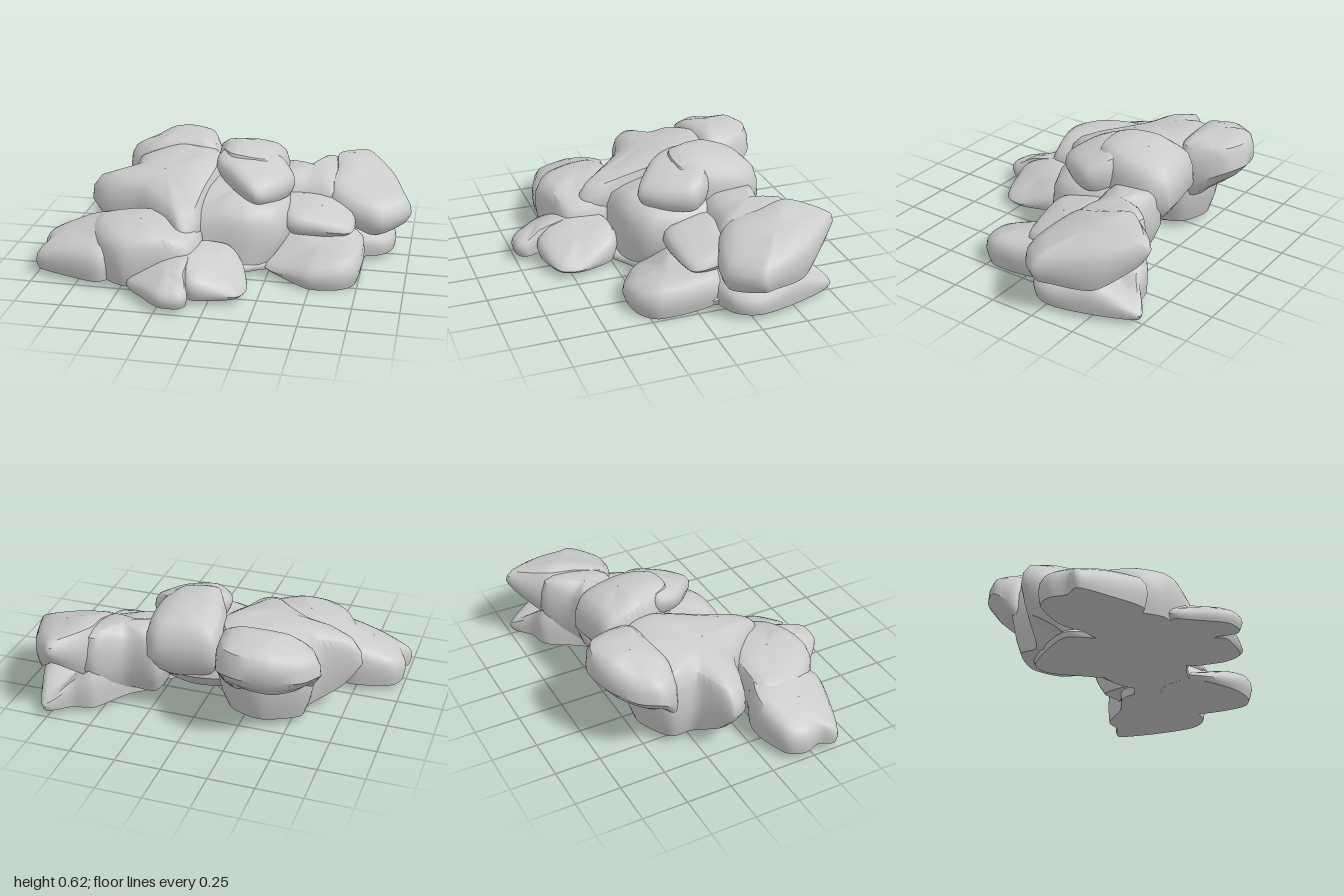
import * as THREE from 'three';
import { toCreasedNormals } from 'three/addons/utils/BufferGeometryUtils.js';

// Side and top of every boulder, from the foot to the crown: [outward reach, share of the height]
const SECTION = [[0.55, 0.19], [1, 0.44], [0.975, 0.7], [0.88, 0.89], [0.68, 0.97], [0.35, 1], [0.005, 1]];

// Boulder lofted from a plan outline of [x, z, top height, optional bottom height].
// foot = [scale, x shift, z shift] of the flat underside
function boulder(name, bottom, [scale, dx = 0, dz = 0], outline) {
  const area = outline.reduce((sum, p, i) => {
    const q = outline[(i + 1) % outline.length];
    return sum + p[0] * q[1] - q[0] * p[1];
  }, 0);
  const pts = area > 0 ? [...outline].reverse() : outline;
  const loop = (f) => new THREE.CatmullRomCurve3(pts.map(f), true, 'catmullrom', 0.4);
  const plan = loop((p) => new THREE.Vector3(p[0], p[2], p[1]));
  const base = loop((p) => new THREE.Vector3(p[0], p[3] ?? bottom, p[1]));
  const n = pts.length * 6;
  const rim = [], floor = [], mid = new THREE.Vector3();
  let floorMid = 0;
  for (let i = 0; i < n; i++) {
    rim.push(plan.getPoint(i / n));
    floor.push(base.getPoint(i / n).y);
    mid.addScaledVector(rim[i], 1 / n);
    floorMid += floor[i] / n;
  }
  mid.y += 0.015;

  // Rings of [plan scale, share of the height, share of the foot shift]
  const rings = [[0.005, 0, 1], [scale, 0, 1]];
  SECTION.forEach(([reach, h], i) => {
    rings.push(i === 0 ? [scale + (1 - scale) * reach, h, 1 - reach] : [reach, h, 0]);
  });
  const pos = [], index = [];
  rings.forEach(([s, h, shift], r) => {
    for (let i = 0; i < n; i++) {
      const p = rim[i];
      const top = mid.y + (p.y - mid.y) * s;
      const low = floorMid + (floor[i] - floorMid) * s;
      pos.push(mid.x + (p.x - mid.x) * s + dx * shift, low + (top - low) * h, mid.z + (p.z - mid.z) * s + dz * shift);
      if (r === 0) continue;
      const j = (i + 1) % n, a = (r - 1) * n, b = r * n;
      index.push(a + i, a + j, b + i, a + j, b + j, b + i);
    }
  });
  const geo = new THREE.BufferGeometry();
  geo.setAttribute('position', new THREE.Float32BufferAttribute(pos, 3));
  geo.setIndex(index);
  const mesh = new THREE.Mesh(toCreasedNormals(geo, 0.75), new THREE.MeshStandardMaterial({ color: 0xcccccc }));
  mesh.name = name;
  return mesh;
}

export function createModel() {
  const group = new THREE.Group();
  group.name = 'rockPile';
  const add = (...args) => group.add(boulder(...args));

  // Flat sheet joining the feet of the ground rocks
  add('groundSlab', 0.03, [0.98], [
    [-0.6, -0.04, 0.09], [-0.44, -0.38, 0.09], [-0.29, -0.42, 0.09], [-0.08, -0.25, 0.09], [0.1, -0.13, 0.09],
    [0.4, -0.32, 0.1], [0.75, -0.3, 0.1], [0.7, 0.02, 0.1], [0.3, 0.14, 0.08], [0.08, 0.27, 0.08],
    [-0.1, 0.45, 0.08], [-0.5, 0.42, 0.09], [-0.45, 0.15, 0.09]]);

  // Ground layer
  add('rightEndRock', 0.03, [0.95], [
    [-1, 0.2, 0.18], [-0.95, 0.1, 0.2], [-0.74, 0.04, 0.28], [-0.58, 0.09, 0.33], [-0.52, 0.3, 0.33],
    [-0.6, 0.51, 0.22], [-0.83, 0.46, 0.18], [-1, 0.39, 0.14], [-0.97, 0.3, 0.18]]);
  add('rightFrontRock', 0.03, [0.92], [
    [-0.74, 0.09, 0.3], [-0.5, 0.07, 0.34], [-0.25, 0.08, 0.34], [-0.1, 0.2, 0.33], [-0.11, 0.44, 0.29],
    [-0.3, 0.51, 0.33], [-0.48, 0.54, 0.31], [-0.63, 0.44, 0.31], [-0.74, 0.25, 0.3]]);
  add('frontWedge', 0.03, [0.92], [
    [-0.45, 0.53, 0.09], [-0.3, 0.42, 0.2], [-0.12, 0.44, 0.24], [-0.11, 0.6, 0.19], [-0.08, 0.7, 0.13],
    [-0.12, 0.75, 0.12], [-0.23, 0.745, 0.11], [-0.35, 0.64, 0.1]]);
  add('frontRoundRock', 0.03, [0.92], [
    [-0.12, 0.25, 0.25], [0.04, 0.21, 0.22], [0.13, 0.27, 0.16], [0.19, 0.45, 0.07], [0.16, 0.57, 0.07],
    [0.04, 0.62, 0.11], [-0.1, 0.63, 0.17], [-0.17, 0.45, 0.24]]);
  add('leftFrontRock', 0, [0.92], [
    [0.23, 0.16, 0.07, 0.03], [0.25, -0.05, 0.22, 0.03], [0.5, -0.22, 0.23, 0.03], [0.73, -0.14, 0.22, 0.03],
    [0.765, 0.02, 0.2, 0.015], [0.75, 0.22, 0.18], [0.66, 0.31, 0.15], [0.5, 0.33, 0.12], [0.37, 0.27, 0.09, 0.015]]);
  add('leftBackBase', 0.03, [0.97], [
    [0.25, -0.3, 0.25], [0.4, -0.45, 0.28], [0.52, -0.63, 0.29], [0.64, -0.665, 0.2], [0.77, -0.745, 0.09],
    [0.87, -0.52, 0.2], [0.92, -0.28, 0.15], [0.84, -0.14, 0.16], [0.55, -0.06, 0.25], [0.28, -0.08, 0.25]]);

  // Middle layer
  add('coreRock', 0.03, [0.65, 0, 0.1], [
    [-0.2, 0.2, 0.35], [-0.02, 0.22, 0.39], [0.16, 0.21, 0.39], [0.31, 0.12, 0.39], [0.36, -0.08, 0.4],
    [0.3, -0.35, 0.44], [0.05, -0.45, 0.46], [-0.2, -0.38, 0.46], [-0.3, -0.05, 0.42]]);
  add('leftLedge', 0.19, [0.8], [
    [0.25, -0.2, 0.37], [0.45, -0.25, 0.37], [0.66, -0.22, 0.33], [0.7, -0.1, 0.28], [0.68, 0.01, 0.25],
    [0.52, 0.05, 0.28], [0.33, 0.04, 0.32]]);
  add('saddleRock', 0.08, [0.82, 0, 0.05], [
    [0.2, -0.5, 0.46], [0.38, -0.51, 0.43], [0.53, -0.62, 0.49], [0.66, -0.54, 0.47], [0.6, -0.2, 0.41],
    [0.4, -0.2, 0.4], [0.2, -0.22, 0.44]]);
  add('leftTopSlab', 0.17, [0.88], [
    [0.54, -0.4, 0.49], [0.53, -0.58, 0.53, 0.18], [0.69, -0.755, 0.48, 0.34], [0.76, -0.72, 0.46, 0.3],
    [0.89, -0.55, 0.41, 0.18], [0.98, -0.32, 0.35, 0.19], [0.99, -0.23, 0.34, 0.19], [0.82, -0.1, 0.33, 0.15],
    [0.55, -0.19, 0.42]]);

  // Large plateau with its overhanging rim and narrow foot
  add('plateauRock', 0.03, [0.78, 0, -0.04], [
    [-0.6, -0.4, 0.52], [-0.62, -0.24, 0.49], [-0.82, -0.14, 0.43, 0.16], [-0.74, -0.02, 0.42, 0.1], [-0.52, 0.06, 0.42],
    [-0.32, 0.24, 0.39, 0.15], [-0.2, 0.36, 0.37, 0.18], [-0.12, 0.29, 0.39, 0.15], [-0.1, 0.05, 0.48],
    [-0.06, -0.25, 0.57], [-0.12, -0.44, 0.58], [-0.35, -0.52, 0.58]]);
  add('backDome', 0.14, [0.66, 0, 0.08], [
    [-0.68, -0.47, 0.5, 0.28], [-0.61, -0.58, 0.51, 0.28], [-0.47, -0.68, 0.57, 0.28], [-0.32, -0.715, 0.58, 0.3],
    [-0.19, -0.66, 0.58, 0.28], [-0.12, -0.49, 0.58], [-0.16, -0.38, 0.58], [-0.5, -0.33, 0.55], [-0.63, -0.36, 0.51]]);

  // Top layer
  add('crownRock', 0.2, [0.65, 0, 0.06], [
    [-0.12, -0.5, 0.56], [0.02, -0.545, 0.56], [0.2, -0.56, 0.54], [0.28, -0.46, 0.55], [0.28, -0.25, 0.59],
    [0.2, -0.08, 0.62], [-0.02, -0.08, 0.65], [-0.12, -0.3, 0.63]]);
  add('frontCap', 0.37, [0.88], [
    [-0.08, -0.2, 0.61, 0.46], [0.1, -0.28, 0.61], [0.27, -0.24, 0.58], [0.355, -0.12, 0.52], [0.28, 0.04, 0.5],
    [0.17, 0.13, 0.49, 0.38], [0.02, 0.03, 0.56, 0.43], [-0.08, -0.08, 0.58, 0.47]]);
  return group;
}
